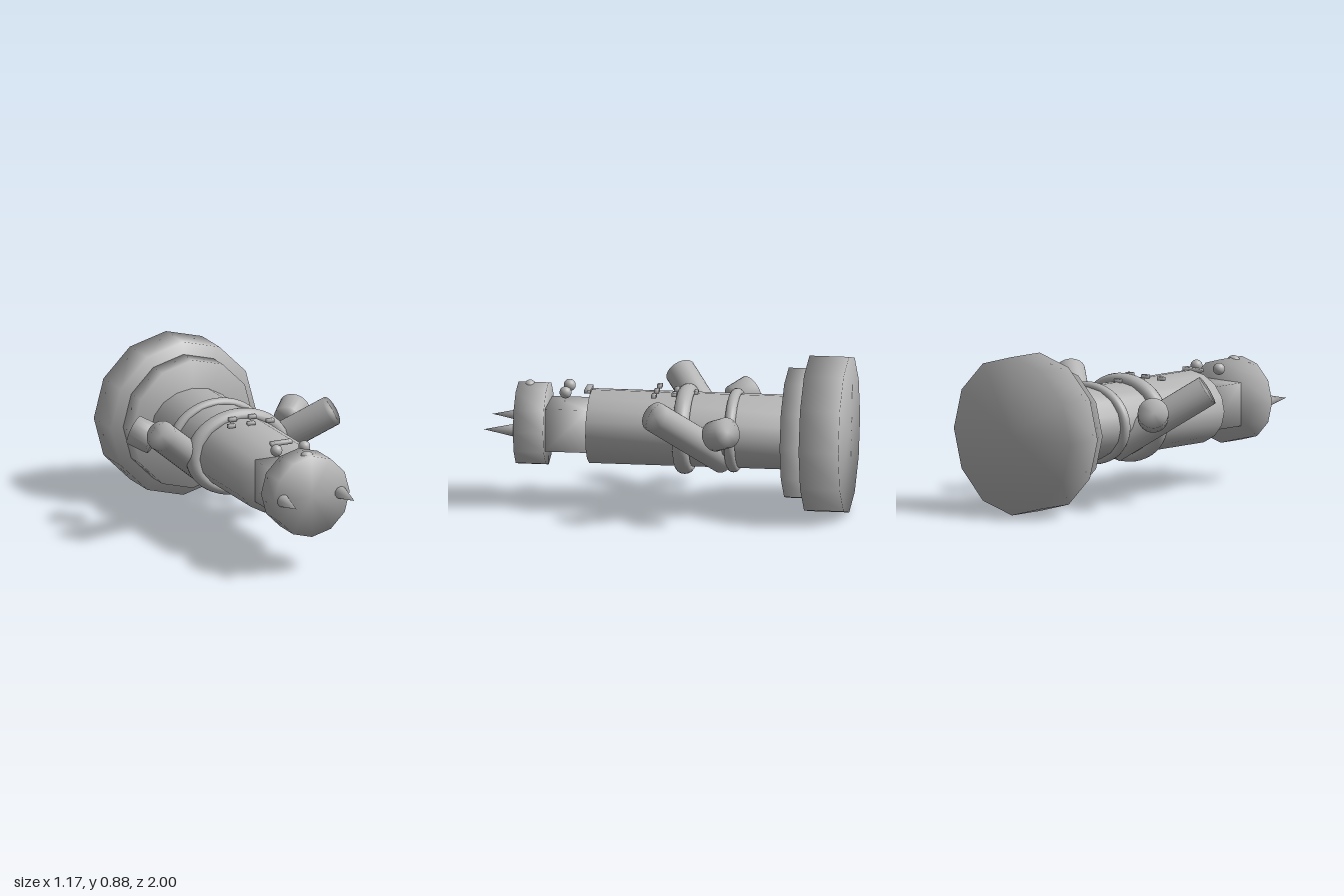
import * as THREE from 'three';
import { mergeVertices } from 'three/addons/utils/BufferGeometryUtils.js';

const grey = new THREE.MeshStandardMaterial({ color: 0xb4b4b4 });
grey.name = 'plain grey';

const MID = 0.443; // height of the body axis

// Weld all corners so the shading runs softly over every edge.
function soften(geometry) {
  geometry.deleteAttribute('uv');
  geometry.deleteAttribute('normal');
  const welded = mergeVertices(geometry, 1e-4);
  welded.computeVertexNormals();
  return welded;
}

export function createModel() {
  const model = new THREE.Group();
  model.name = 'model';

  function add(name, geometry, x, y, z) {
    const mesh = new THREE.Mesh(soften(geometry), grey);
    mesh.name = name;
    mesh.position.set(x, y, z);
    model.add(mesh);
    return mesh;
  }

  // Drum lying along z between two depths
  function drum(name, rx, ry, z0, z1, sides, y = MID) {
    const g = new THREE.CylinderGeometry(1, 1, z1 - z0, sides);
    g.rotateX(Math.PI / 2).scale(rx, ry, 1);
    return add(name, g, 0, y, (z0 + z1) / 2);
  }

  // Cylinder between two points
  function rod(name, a, b, radius) {
    const axis = b.clone().sub(a);
    const g = new THREE.CylinderGeometry(radius, radius, axis.length(), 24);
    const c = a.clone().add(b).multiplyScalar(0.5);
    const mesh = add(name, g, c.x, c.y, c.z);
    mesh.quaternion.setFromUnitVectors(new THREE.Vector3(0, 1, 0), axis.normalize());
  }

  // Oval ring around the body
  function ring(name, rx, ry, tube, z) {
    const g = new THREE.TorusGeometry(rx - tube, tube, 16, 48);
    g.scale(1, ry / rx, 1);
    add(name, g, 0, MID + 0.001, z);
  }

  // Stepped base, body, neck and head
  drum('baseDisc', 0.44, 0.44, -1, -0.78, 12, 0.44);
  drum('baseStep', 0.368, 0.368, -0.78, -0.665, 12, 0.44);
  drum('body', 0.252, 0.203, -0.665, 0.428, 16);
  add('neck', new THREE.BoxGeometry(0.305, 0.24, 0.24), 0, 0.445, 0.547);
  drum('head', 0.23, 0.232, 0.665, 0.832, 12, 0.447);

  // Rings
  ring('frontRing', 0.312, 0.245, 0.046, -0.1);
  ring('rearRing', 0.287, 0.228, 0.03, -0.37);

  // Paired parts
  for (const s of [1, -1]) {
    const side = s > 0 ? 'left' : 'right';
    rod(side + 'Arm', new THREE.Vector3(s * 0.11, 0.31, -0.32),
      new THREE.Vector3(s * 0.52, 0.636, 0.008), 0.085);
    rod(side + 'Stub', new THREE.Vector3(s * 0.413, 0.51, -0.31),
      new THREE.Vector3(s * 0.491, 0.552, -0.392), 0.085);
    add(side + 'Eye', new THREE.SphereGeometry(0.033, 20, 14), s * 0.085, 0.647, 0.56);
    const horn = new THREE.ConeGeometry(0.037, 0.172, 10);
    horn.rotateX(Math.PI / 2);
    add(side + 'Horn', horn, s * 0.176, 0.446, 0.914);
  }

  // Bump on top of the head
  const bump = new THREE.SphereGeometry(1, 20, 14);
  bump.scale(0.037, 0.027, 0.03);
  add('headBump', bump, 0, 0.663, 0.768);

  // Collar plate and buttons
  add('collarPlate', new THREE.BoxGeometry(0.125, 0.02, 0.034), 0, 0.648, 0.443);
  const buttons = [[-0.118, 0.065], [0, 0.065], [0.118, 0.065], [-0.06, -0.04], [0.06, -0.04], [0, -0.15]];
  for (const [x, z] of buttons) {
    add('button', new THREE.BoxGeometry(0.042, 0.02, 0.026), x, 0.652, z);
  }

  return model;
}
